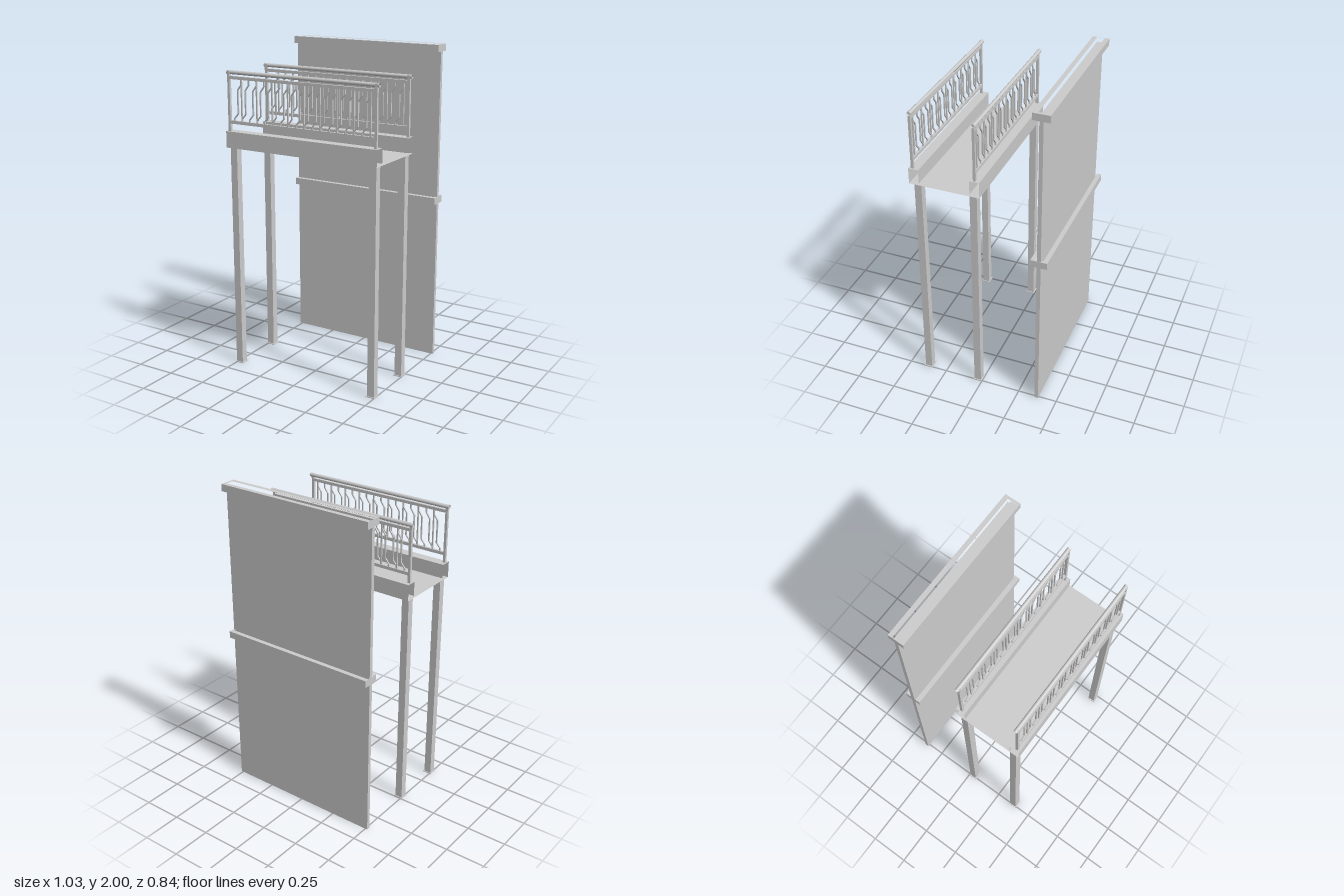
import * as THREE from 'three';

const grey = new THREE.MeshStandardMaterial({ color: 0xcccccc });
const sheet = new THREE.MeshStandardMaterial({ color: 0xcccccc, side: THREE.DoubleSide });

// Box given by its minimum and maximum corners
function box(parent, name, x0, x1, y0, y1, z0, z1) {
  const mesh = new THREE.Mesh(new THREE.BoxGeometry(x1 - x0, y1 - y0, z1 - z0), grey);
  mesh.name = name;
  mesh.position.set((x0 + x1) / 2, (y0 + y1) / 2, (z0 + z1) / 2);
  parent.add(mesh);
  return mesh;
}

// Open sheet running along x through a closed list of [z, y] points
function openProfile(name, points, halfLength) {
  const positions = [];
  points.forEach(([z0, y0], i) => {
    const [z1, y1] = points[(i + 1) % points.length];
    const a = [-halfLength, y0, z0], b = [halfLength, y0, z0];
    const c = [halfLength, y1, z1], d = [-halfLength, y1, z1];
    positions.push(...a, ...b, ...c, ...a, ...c, ...d);
  });
  const geometry = new THREE.BufferGeometry();
  geometry.setAttribute('position', new THREE.Float32BufferAttribute(positions, 3));
  geometry.computeVertexNormals();
  const mesh = new THREE.Mesh(geometry, sheet);
  mesh.name = name;
  return mesh;
}

// Wall ledge with a shallow trough in its top
function ledge(y0, y1) {
  const group = new THREE.Group();
  group.name = 'wallLedge';
  const rect = (Type, x0, x1, z0, z1) => new Type([
    new THREE.Vector2(x0, -z0), new THREE.Vector2(x1, -z0),
    new THREE.Vector2(x1, -z1), new THREE.Vector2(x0, -z1),
  ]);
  const shape = rect(THREE.Shape, -0.515, 0.515, -0.423, -0.321);
  shape.holes.push(rect(THREE.Path, -0.513, 0.498, -0.395, -0.349));
  const geometry = new THREE.ExtrudeGeometry(shape, { depth: y1 - y0, bevelEnabled: false });
  geometry.rotateX(-Math.PI / 2);
  const frame = new THREE.Mesh(geometry, grey);
  frame.name = 'ledgeFrame';
  frame.position.y = y0;
  group.add(frame);
  box(group, 'ledgeFloor', -0.513, 0.498, y0, y0 + 0.013, -0.395, -0.349);
  return group;
}

// Cranked baluster: two vertical ends joined by an offset middle
function crankedBaluster(x, z) {
  const s = 0.026, w = 0.004;
  const path = [[-s, 1.565], [-s, 1.58], [0, 1.61], [0, 1.75], [s, 1.785], [s, 1.812]];
  const outline = [
    ...path.map(([px, py]) => new THREE.Vector2(px - w, py)),
    ...path.map(([px, py]) => new THREE.Vector2(px + w, py)).reverse(),
  ];
  const geometry = new THREE.ExtrudeGeometry(new THREE.Shape(outline), { depth: 0.008, bevelEnabled: false });
  const mesh = new THREE.Mesh(geometry, grey);
  mesh.name = 'crankedBaluster';
  mesh.position.set(x, 0, z - 0.004);
  return mesh;
}

function railing(z) {
  const group = new THREE.Group();
  group.name = 'railing';
  // Round handrail, open at the ends
  const handrail = new THREE.Mesh(new THREE.CylinderGeometry(0.012, 0.012, 1.03, 20, 1, true), sheet);
  handrail.name = 'handrail';
  handrail.rotation.z = Math.PI / 2;
  handrail.position.set(0, 1.851, z - 0.005);
  group.add(handrail);
  // End posts and horizontal bars
  for (const x of [-0.498, 0.498]) {
    box(group, 'railPost', x - 0.008, x + 0.008, 1.5, 1.86, z - 0.008, z + 0.008);
  }
  box(group, 'upperBar', -0.49, 0.49, 1.812, 1.83, z - 0.008, z + 0.008);
  box(group, 'lowerBar', -0.49, 0.49, 1.546, 1.565, z - 0.008, z + 0.008);
  // Balusters
  const step = 0.0545;
  for (let i = 0; i < 17; i++) {
    const x = (i - 8) * step;
    group.add(crankedBaluster(x, z));
    if (i % 2 === 0) {
      const sx = x + step / 2;
      box(group, 'straightBaluster', sx - 0.004, sx + 0.004, 1.565, 1.812, z - 0.004, z + 0.004);
    }
  }
  return group;
}

export function createModel() {
  const model = new THREE.Group();
  model.name = 'walkwayAndWall';

  // Back wall with two ledges
  box(model, 'wallPanel', -0.515, 0.513, 0, 1.965, -0.384, -0.36);
  model.add(ledge(1.957, 2), ledge(1.015, 1.058));

  // Walkway: side beams and deck as one open-ended profile
  model.add(openProfile('walkwayDeck', [
    [-0.015, 1.4], [0.42, 1.4], [0.42, 1.5], [0.358, 1.5],
    [0.358, 1.412], [0.045, 1.412], [0.045, 1.5], [-0.015, 1.5],
  ], 0.515));

  // Columns on base plates
  for (const x of [-0.481, 0.476]) {
    for (const z of [0.03, 0.373]) {
      box(model, 'column', x - 0.023, x + 0.023, 0.005, 1.4, z - 0.022, z + 0.022);
      box(model, 'basePlate', x - 0.029, x + 0.029, 0, 0.005, z - 0.028, z + 0.028);
    }
  }

  // Railings on both beams
  model.add(railing(0.018), railing(0.399));
  return model;
}
